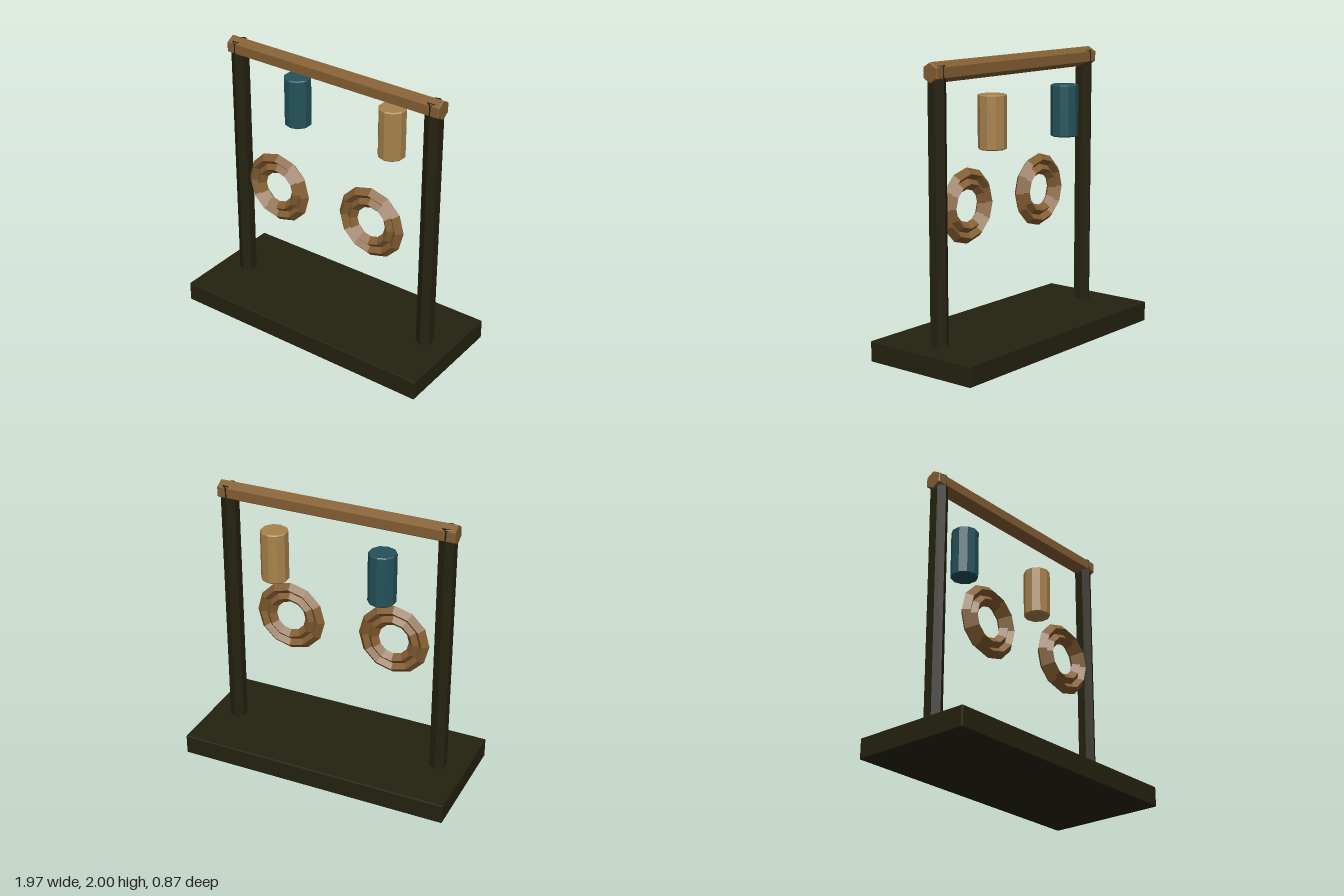
import * as THREE from 'three';
import { RoundedBoxGeometry } from 'three/addons/geometries/RoundedBoxGeometry.js';

function paint(name, color) {
  const m = new THREE.MeshStandardMaterial({ color, flatShading: true });
  m.name = name;
  return m;
}

// Upright prism with slightly bevelled rims, centred on its own middle
function prism(radius, height, sides, bevel) {
  const h = height / 2;
  const profile = [
    [0, -h], [radius - bevel, -h], [radius, -h + bevel],
    [radius, h - bevel], [radius - bevel, h], [0, h],
  ].map(([x, y]) => new THREE.Vector2(x, y));
  return new THREE.LatheGeometry(profile, sides);
}

export function createModel() {
  const dark = paint('dark timber', 0x24220f);
  const brown = paint('brown wood', 0x845e32);
  const teal = paint('teal', 0x24525a);
  const tan = paint('tan', 0xa8834c);

  const model = new THREE.Group();
  model.name = 'hangingRack';
  const add = (name, geometry, material, x, y, z, parent = model) => {
    const mesh = new THREE.Mesh(geometry, material);
    mesh.name = name;
    mesh.position.set(x, y, z);
    parent.add(mesh);
    return mesh;
  };

  // Base slab
  add('base', new RoundedBoxGeometry(1.97, 0.143, 0.868, 1, 0.007), dark, 0, 0.0715, 0);

  // Hexagonal crossbeam, ridge upward
  const beam = prism(0.068, 1.7, 6, 0.006).rotateY(Math.PI / 2).rotateZ(Math.PI / 2);
  add('crossbeam', beam, brown, 0, 1.932, 0);

  for (const side of [-1, 1]) {
    const label = side > 0 ? 'left' : 'right';

    // Hexagonal post
    add(label + 'Post', prism(0.062, 1.875, 6, 0.004), dark, side * 0.785, 1.04, 0);

    // Ten-sided roll behind the beam
    add(label + 'Roll', prism(0.096, 0.36, 10, 0.007), side > 0 ? tan : teal,
      side * 0.39, 1.59, -0.125);

    // Coil of two concentric diamond-section rings
    const coil = new THREE.Group();
    coil.name = label + 'Coil';
    coil.position.set(side * 0.39, 1.005, 0.1);
    model.add(coil);
    add('outerRing', new THREE.TorusGeometry(0.219, 0.041, 4, 12), brown, 0, 0, 0, coil);
    add('innerRing', new THREE.TorusGeometry(0.152, 0.041, 4, 12), brown, 0, 0, 0, coil);
  }

  return model;
}
